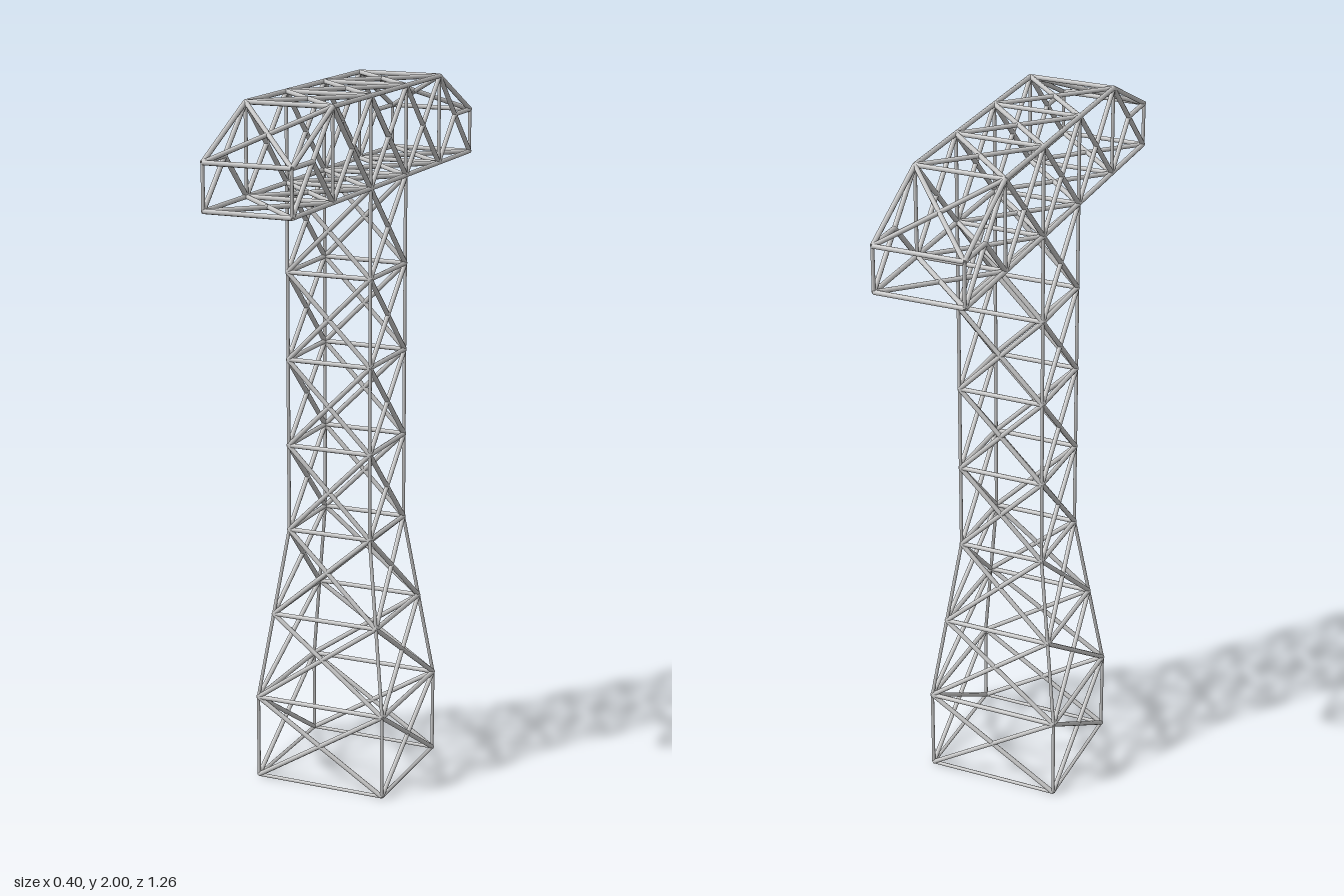
import * as THREE from 'three';

const R = 0.0068;              // radius of braces, struts and chords
const THIN = 0.0052;           // radius of legs, posts and the bottom frame
const U = (2 - R) / 8;         // height and length of one lattice bay
const H = U / 2;               // half width of mast and head
const BASE = 0.1945;           // half width of the base

const steel = new THREE.MeshStandardMaterial({ color: 0xc8c8c8 });
steel.name = 'light grey steel';
const barGeometry = new THREE.CylinderGeometry(1, 1, 1, 8);
const UP = new THREE.Vector3(0, 1, 0);

const P = (x, y, z) => new THREE.Vector3(x, y, z);
const level = (i) => Math.max(i * U, 0.006);   // the lowest joints rest just above the ground

// One straight bar between two joints
function bar(group, name, a, b, radius = R) {
  const d = b.clone().sub(a);
  const mesh = new THREE.Mesh(barGeometry, steel);
  mesh.name = name;
  mesh.position.copy(a).add(b).multiplyScalar(0.5);
  mesh.scale.set(radius, d.length(), radius);
  mesh.quaternion.setFromUnitVectors(UP, d.normalize());
  group.add(mesh);
}

// Crossed braces in a panel with corners a, b, c, d in order
function cross(group, a, b, c, d) {
  bar(group, 'brace', a, c);
  bar(group, 'brace', b, d);
}

// Four-sided mast, wide at the base and tapering to the shaft
function buildMast() {
  const mast = new THREE.Group();
  mast.name = 'mast';
  const halfWidths = [BASE, BASE, (BASE + H) / 2, H, H, H, H, H];
  const rings = halfWidths.map((w, i) => [
    P(w, level(i), w), P(w, level(i), -w), P(-w, level(i), -w), P(-w, level(i), w),
  ]);
  rings.forEach((ring, i) => {
    for (let k = 0; k < 4; k++) {
      const n = (k + 1) % 4;
      if (i < 7) bar(mast, 'strut', ring[k], ring[n], i === 0 ? THIN : R);
      if (i === 0) continue;
      const below = rings[i - 1];
      bar(mast, 'leg', below[k], ring[k], THIN);
      cross(mast, below[k], below[n], ring[n], ring[k]);
    }
  });
  return mast;
}

// Horizontal head with a bay over the mast, two bays each way and clipped ends
function buildHead() {
  const head = new THREE.Group();
  head.name = 'head';
  const low = level(7), high = level(8), mid = level(7.5);
  const stations = [-2.5, -1.5, -0.5, 0.5, 1.5, 2.5].map((n) => n * U);
  const top = [mid, high, high, high, high, mid];

  stations.forEach((z, i) => {
    // Frame across the head
    bar(head, 'strut', P(-H, low, z), P(H, low, z));
    bar(head, 'strut', P(-H, top[i], z), P(H, top[i], z));
    for (const x of [-H, H]) bar(head, 'post', P(x, low, z), P(x, top[i], z), THIN);
    if (i === 5) return;

    // Chords and braces along the head
    const z2 = stations[i + 1];
    cross(head, P(-H, low, z), P(H, low, z), P(H, low, z2), P(-H, low, z2));
    cross(head, P(-H, top[i], z), P(H, top[i], z), P(H, top[i + 1], z2), P(-H, top[i + 1], z2));
    for (const x of [-H, H]) {
      bar(head, 'chord', P(x, low, z), P(x, low, z2));
      bar(head, 'chord', P(x, top[i], z), P(x, top[i + 1], z2));
      if (i > 0 && i < 4) {
        cross(head, P(x, low, z), P(x, low, z2), P(x, high, z2), P(x, high, z));
      } else {
        // End bay: full diagonal, half diagonal and a short level bar
        const [inner, outer] = i === 0 ? [z2, z] : [z, z2];
        const centre = P(x, mid, (z + z2) / 2);
        bar(head, 'brace', P(x, low, outer), P(x, high, inner));
        bar(head, 'brace', P(x, low, inner), centre);
        bar(head, 'brace', P(x, mid, outer), centre);
      }
    }
  });
  return head;
}

export function createModel() {
  const model = new THREE.Group();
  model.name = 'latticeTower';
  model.add(buildMast(), buildHead());
  return model;
}
